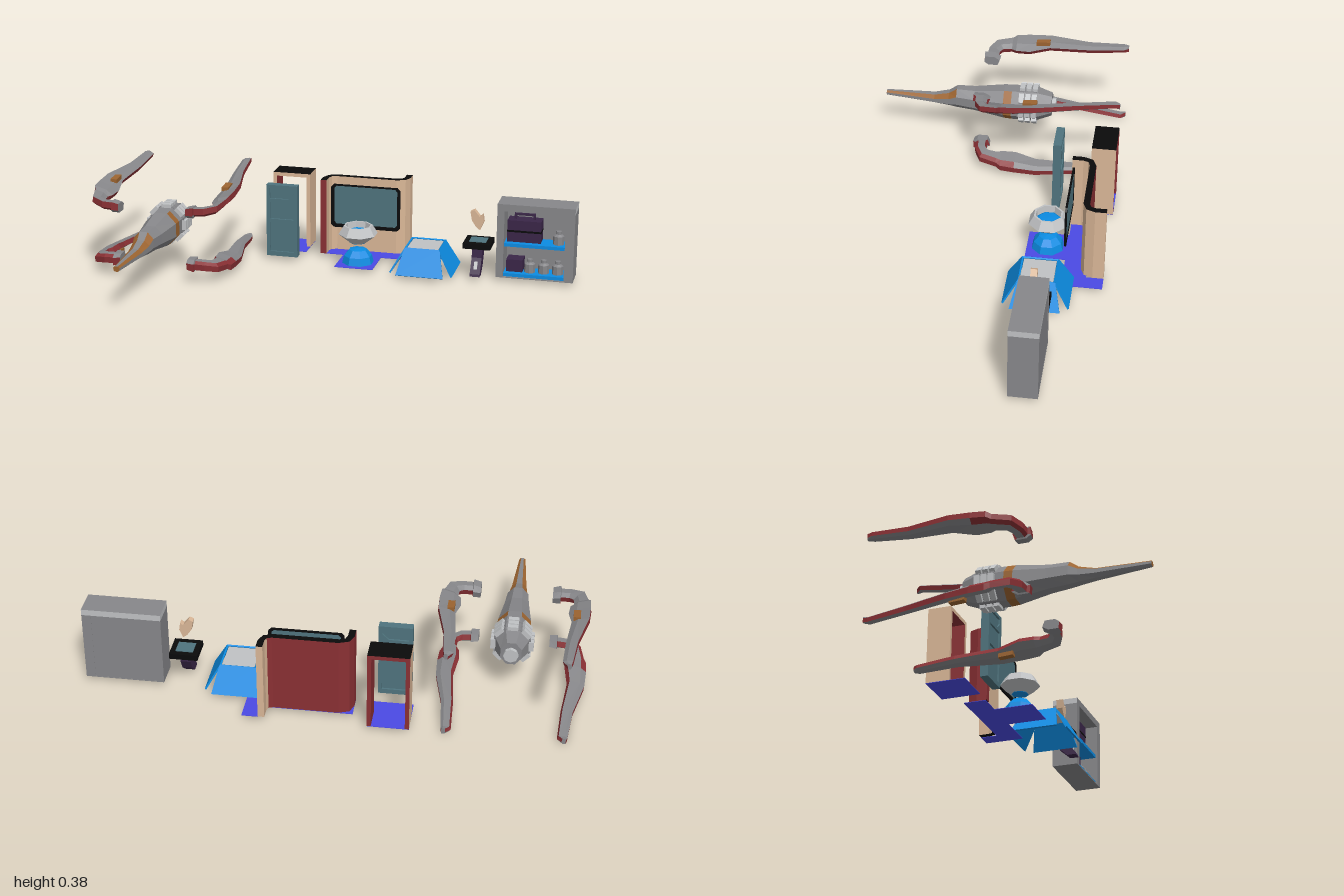
import * as THREE from 'three';

const mat = (name, color) => {
  const m = new THREE.MeshStandardMaterial({ color });
  m.name = name;
  return m;
};
const M = {
  grey: mat('hull grey', 0x87878a), light: mat('light grey', 0xc0c2c4),
  red: mat('dark red', 0x8a3034), orange: mat('burnt orange', 0x9c6430),
  tan: mat('tan', 0xdab797), teal: mat('teal', 0x4f747e),
  black: mat('black', 0x0a0a0b), blue: mat('bright blue', 0x0c8ce2),
  violet: mat('floor violet', 0x4b4ae4), purple: mat('dark purple', 0x3a2648),
};

// faceted geometry
function flat(g) {
  const f = g.index ? g.toNonIndexed() : g;
  f.computeVertexNormals();
  return f;
}

// add one mesh
function add(parent, name, geo, material, x = 0, y = 0, z = 0) {
  const m = new THREE.Mesh(geo, material);
  m.name = name;
  m.position.set(x, y, z);
  parent.add(m);
  return m;
}

// box given by its limits
function box(parent, name, material, x0, x1, y0, y1, z0, z1) {
  return add(parent, name, new THREE.BoxGeometry(x1 - x0, y1 - y0, z1 - z0), material,
    (x0 + x1) / 2, (y0 + y1) / 2, (z0 + z1) / 2);
}

// cross-section: points [u, v] along a level width axis (turned by a) and up
const ring = (x, y, z, a, pts) => pts.map(([u, v]) =>
  new THREE.Vector3(x + u * Math.cos(a), y + v, z + u * Math.sin(a)));

// skin over rings; pick(segment, face) gives the colour, face -1 is an end cap
function loft(parent, name, rings, pick, flip = false) {
  const byMat = new Map();
  const tri = (m, a, b, c) => {
    if (!byMat.has(m)) byMat.set(m, []);
    byMat.get(m).push(...(flip ? [a, c, b] : [a, b, c]));
  };
  const n = rings[0].length, last = rings.length - 1;
  for (let i = 0; i < last; i++) for (let j = 0; j < n; j++) {
    const k = (j + 1) % n, A = rings[i], B = rings[i + 1], m = pick(i, j);
    tri(m, A[j], A[k], B[k]);
    tri(m, A[j], B[k], B[j]);
  }
  for (let j = 1; j < n - 1; j++) {
    tri(pick(0, -1), rings[0][0], rings[0][j + 1], rings[0][j]);
    tri(pick(last - 1, -1), rings[last][0], rings[last][j], rings[last][j + 1]);
  }
  const points = [], mats = [...byMat.keys()], geo = new THREE.BufferGeometry();
  mats.forEach((m, i) => {
    geo.addGroup(points.length, byMat.get(m).length, i);
    points.push(...byMat.get(m));
  });
  geo.setFromPoints(points);
  geo.computeVertexNormals();
  return add(parent, name, geo, mats);
}

const shapeOf = pts => new THREE.Shape(pts.map(p => new THREE.Vector2(...p)));
const extrude = (shape, depth) => new THREE.ExtrudeGeometry(shape, { depth, bevelEnabled: false });
const rect = (x0, x1, y0, y1) => [[x0, y0], [x1, y0], [x1, y1], [x0, y1]];

function ship() {
  const g = new THREE.Group(), cx = -0.695;
  g.name = 'spacecraft';
  // hull stations: z, top, bottom, half width
  const st = [[-0.21, 0.243, 0.145, 0.042], [-0.136, 0.264, 0.118, 0.07], [-0.035, 0.261, 0.118, 0.068],
    [0, 0.26, 0.12, 0.066], [0.13, 0.243, 0.143, 0.05], [0.21, 0.243, 0.15, 0.042],
    [0.245, 0.218, 0.155, 0.037], [0.31, 0.202, 0.162, 0.03], [0.525, 0.2, 0.178, 0.013]];
  const hull = st.map(([z, t, b, w]) => ring(cx, (t + b) / 2, z, 0, [...Array(8).keys()].map(k => {
    const a = (k + 0.5) * Math.PI / 4, s = 1 / Math.cos(Math.PI / 8);
    return [Math.cos(a) * w * s, Math.sin(a) * (t - b) / 2 * s];
  })));
  loft(g, 'hull', hull, (i, j) => (i === 2 && j !== 1) || (i >= 5 && (j === 0 || j === 2)) || (i === 7 && j === -1)
    ? M.orange : M.grey);
  // engine nozzle and ribbed rings
  const noz = flat(new THREE.CylinderGeometry(0.03, 0.03, 0.03, 8).rotateX(Math.PI / 2));
  add(g, 'engineNozzle', noz, M.light, cx, 0.193, -0.212);
  for (let r = 0; r < 3; r++) {
    const z = -0.08 - r * 0.028;
    const band = flat(new THREE.CylinderGeometry(0.079, 0.079, 0.014, 8).rotateY(Math.PI / 8).rotateX(Math.PI / 2));
    add(g, 'engineRing', band, M.grey, cx, 0.191, z);
    for (let k = 0; k < 8; k++) {
      const a = k * Math.PI / 4;
      add(g, 'ringBlock', new THREE.BoxGeometry(0.024, 0.042, 0.022), M.light,
        cx + Math.cos(a) * 0.074, 0.191 + Math.sin(a) * 0.074, z).rotation.z = a;
    }
  }
  // four hooked side pods: x, y, z, turn, half width, half height, tilt
  const path = [[0.232, 0.363, -0.52, 0, 0.008, 0.012, 0], [0.225, 0.366, -0.5, 0, 0.02, 0.012, 0],
    [0.235, 0.35, -0.345, 0, 0.024, 0.014, 0.1], [0.262, 0.34, -0.17, 0, 0.035, 0.016, 0.2],
    [0.257, 0.326, -0.08, 0, 0.044, 0.018, 0.3], [0.258, 0.323, -0.02, 0, 0.04, 0.018, 0.3],
    [0.26, 0.318, 0, 0, 0.028, 0.016, 0.3], [0.25, 0.312, 0.055, 0.7, 0.028, 0.017, 0.15],
    [0.215, 0.306, 0.075, 1.4, 0.025, 0.018, 0], [0.178, 0.304, 0.077, 1.57, 0.025, 0.018, 0],
    [0.176, 0.304, 0.077, 1.57, 0.037, 0.024, 0], [0.145, 0.3, 0.077, 1.57, 0.034, 0.02, 0]];
  // red rim on both sides, grey above and below
  const podColour = (i, j) => j === 2 || (j === 5 && i < 10) || (j === 1 && i > 3 && i < 9) ? M.red : M.grey;
  for (const sx of [-1, 1]) for (const sy of [-1, 1]) {
    const place = rs => rs.map(r => r.map(p =>
      new THREE.Vector3(cx + sx * p.x, 0.19 + sy * (p.y - 0.19), p.z)));
    const rs = path.map(([x, y, z, a, w, h, tilt]) => ring(x, y, z, a, [[-0.7 * w, -h], [0.5 * w, -h],
      [w, -0.4 * h], [0.94 * w, h], [-0.3 * w, h], [-w, 0.3 * h]].map(([u, v]) => [u, v + tilt * u])));
    loft(g, 'sidePod', place(rs), podColour, sx * sy < 0);
    const plate = [-0.17, -0.11].map((z, i) => ring(0.247, 0.354 - i * 0.004, z, 0, rect(-0.014, 0.014, -0.009, 0.008)));
    loft(g, 'podPlate', place(plate), () => M.orange, sx * sy < 0);
  }
  return g;
}

function walls() {
  const g = new THREE.Group();
  g.name = 'cabinWalls';
  // floor plates
  for (const [x0, x1, z0, z1] of [[-0.33, -0.165, -0.53, -0.362], [-0.1, 0.33, -0.46, -0.365],
    [0.265, 0.33, -0.53, -0.46], [0, 0.165, -0.365, -0.2]])
    box(g, 'floorPlate', M.violet, x0, x1, 0.016, 0.018, z0, z1);
  // door frame
  const post = [M.red, M.tan, M.black, M.black, M.tan, M.red];
  box(g, 'doorPost', post, -0.33, -0.314, 0.018, 0.346, -0.53, -0.43);
  box(g, 'doorPost', [M.tan, M.red, ...post.slice(2)], -0.181, -0.165, 0.018, 0.346, -0.53, -0.43);
  box(g, 'doorLintel', [M.tan, M.tan, M.black, M.red, M.tan, M.red], -0.314, -0.181, 0.33, 0.346, -0.53, -0.43);
  // door leaf with sunken panels
  box(g, 'doorLeaf', M.teal, -0.315, -0.18, 0.02, 0.335, -0.296, -0.278);
  const leaf = shapeOf(rect(-0.315, -0.18, 0.02, 0.335));
  for (const hole of [[[-0.3, 0.04], [-0.195, 0.04], [-0.195, 0.145], [-0.22, 0.17], [-0.3, 0.17]],
    rect(-0.3, -0.195, 0.185, 0.26), [[-0.3, 0.275], [-0.22, 0.275], [-0.195, 0.3], [-0.195, 0.322], [-0.3, 0.322]]])
    leaf.holes.push(new THREE.Path(hole.map(p => new THREE.Vector2(...p))));
  for (const z of [-0.278, -0.304]) add(g, 'doorLeafRim', extrude(leaf, 0.008), M.teal, 0, 0, z);
  // curved wall
  const P = Math.PI;
  const plan = [[-0.087, -0.36, P], [-0.087, -0.405, P], [-0.076, -0.435, 1.25 * P], [-0.045, -0.447, 1.5 * P],
    [0.215, -0.447, 1.5 * P], [0.242, -0.458, 1.25 * P], [0.252, -0.485, P], [0.252, -0.53, P]];
  loft(g, 'curvedWall', plan.map(([x, z, a]) => ring(x, 0.182, z, a, rect(-0.013, 0.013, -0.164, 0.164))),
    (i, j) => j === 2 || j === 0 ? M.black : j === 3 || i > 4 ? M.tan : M.red);
  // window
  const w = (x0, x1, y0, y1, c) => shapeOf([[x0 + c, y0], [x1 - c, y0], [x1, y0 + c], [x1, y1 - c],
    [x1 - c, y1], [x0 + c, y1], [x0, y1 - c], [x0, y0 + c]]);
  const frame = w(-0.055, 0.245, 0.14, 0.33, 0.012);
  frame.holes.push(w(-0.041, 0.233, 0.155, 0.324, 0.01));
  add(g, 'windowFrame', extrude(frame, 0.008), M.black, 0, 0, -0.373);
  add(g, 'windowPane', extrude(w(-0.043, 0.235, 0.153, 0.326, 0.01), 0.003), M.teal, 0, 0, -0.371);
  return g;
}

function furniture() {
  const g = new THREE.Group();
  g.name = 'furniture';
  const lathe = (name, m, pts) => add(g, name,
    flat(new THREE.LatheGeometry(pts.map(p => new THREE.Vector2(...p)), 8, Math.PI / 8)), m, 0.083, 0, -0.285);
  // round seat and its domed foot
  lathe('domeFoot', M.blue, [[0, 0.018], [0.068, 0.018], [0.06, 0.05], [0.038, 0.076], [0, 0.082]]);
  lathe('seatRim', M.light, [[0.035, 0.107], [0.084, 0.145], [0.062, 0.182], [0.054, 0.182], [0.05, 0.15]]);
  lathe('seatCushion', M.blue, [[0, 0.106], [0.035, 0.106], [0.056, 0.15], [0.04, 0.16], [0, 0.162]]);
  // table with four splayed panels
  const table = new THREE.Group();
  table.name = 'table';
  table.position.set(0.375, 0.018, -0.28);
  g.add(table);
  add(table, 'tableTop', new THREE.BoxGeometry(0.13, 0.008, 0.13), M.light, 0, 0.1, 0);
  const panel = extrude(shapeOf([[-0.1, 0], [0.1, 0], [0.074, 0.121], [-0.074, 0.121]]), 0.007);
  for (let k = 0; k < 4; k++) {
    const side = new THREE.Group();
    side.name = 'tableSide';
    side.rotation.y = k * Math.PI / 2;
    add(side, 'tablePanel', panel, M.blue, 0, 0, 0.127).rotation.x = -0.52;
    table.add(side);
  }
  // pedestal screen
  box(g, 'pedestalTop', M.black, 0.54, 0.655, 0.132, 0.155, -0.35, -0.235);
  box(g, 'pedestalScreen', M.teal, 0.562, 0.633, 0.154, 0.158, -0.327, -0.262);
  const stem = extrude(shapeOf([[-0.315, 0.132], [-0.315, 0.1], [-0.29, 0.055], [-0.25, 0.02], [-0.212, 0.02],
    [-0.215, 0.03], [-0.255, 0.09], [-0.26, 0.132]].reverse()), 0.042);
  add(g, 'pedestalStem', stem.rotateY(-Math.PI / 2), M.purple, 0.618, 0, 0);
  add(g, 'stemPlate', new THREE.BoxGeometry(0.014, 0.034, 0.006), M.light, 0.597, 0.062, -0.235).rotation.x = -0.59;
  // hand
  const hand = shapeOf([[0.605, 0.205], [0.62, 0.24], [0.615, 0.272], [0.603, 0.262], [0.58, 0.29],
    [0.563, 0.282], [0.57, 0.245], [0.588, 0.218]]);
  add(g, 'hand', extrude(hand, 0.026), M.tan, 0, 0, -0.298);
  return g;
}

function cabinet() {
  const g = new THREE.Group();
  g.name = 'cabinet';
  // shell, pale top trim, back and shelves
  const shell = shapeOf(rect(0.68, 1, 0.018, 0.31));
  shell.holes.push(new THREE.Path(rect(0.71, 0.962, 0.022, 0.305).map(p => new THREE.Vector2(...p))));
  add(g, 'cabinetShell', extrude(shell, 0.115), M.grey, 0, 0, -0.355);
  box(g, 'topTrim', [M.light, M.light, M.grey, M.grey, M.grey, M.light], 0.68, 1, 0.31, 0.335, -0.355, -0.24);
  box(g, 'cabinetBack', M.grey, 0.7, 0.97, 0.02, 0.31, -0.354, -0.34);
  for (const y of [0.022, 0.152]) box(g, 'shelf', M.blue, 0.71, 0.962, y, y + 0.014, -0.34, -0.248);
  // cases
  box(g, 'largeCase', M.purple, 0.72, 0.86, 0.17, 0.262, -0.325, -0.262);
  box(g, 'caseBand', M.black, 0.719, 0.861, 0.212, 0.22, -0.326, -0.261);
  box(g, 'caseHandle', M.purple, 0.745, 0.832, 0.278, 0.287, -0.3, -0.288);
  for (const x of [0.745, 0.823]) box(g, 'handlePost', M.purple, x, x + 0.009, 0.262, 0.28, -0.3, -0.288);
  box(g, 'smallCase', M.purple, 0.72, 0.788, 0.04, 0.092, -0.325, -0.262);
  // jars
  const jar = flat(new THREE.LatheGeometry([[0, 0], [0.023, 0], [0.023, 0.036], [0.012, 0.044], [0.012, 0.056], [0, 0.056]]
    .map(p => new THREE.Vector2(...p)), 8));
  for (const [x, y] of [[0.93, 0.166], [0.815, 0.036], [0.873, 0.036], [0.931, 0.036]])
    add(g, 'jar', jar, M.grey, x, y, -0.29);
  return g;
}

export function createModel() {
  const model = new THREE.Group();
  model.name = 'spacecraft and cabin set';
  model.add(ship(), walls(), furniture(), cabinet());
  return model;
}
